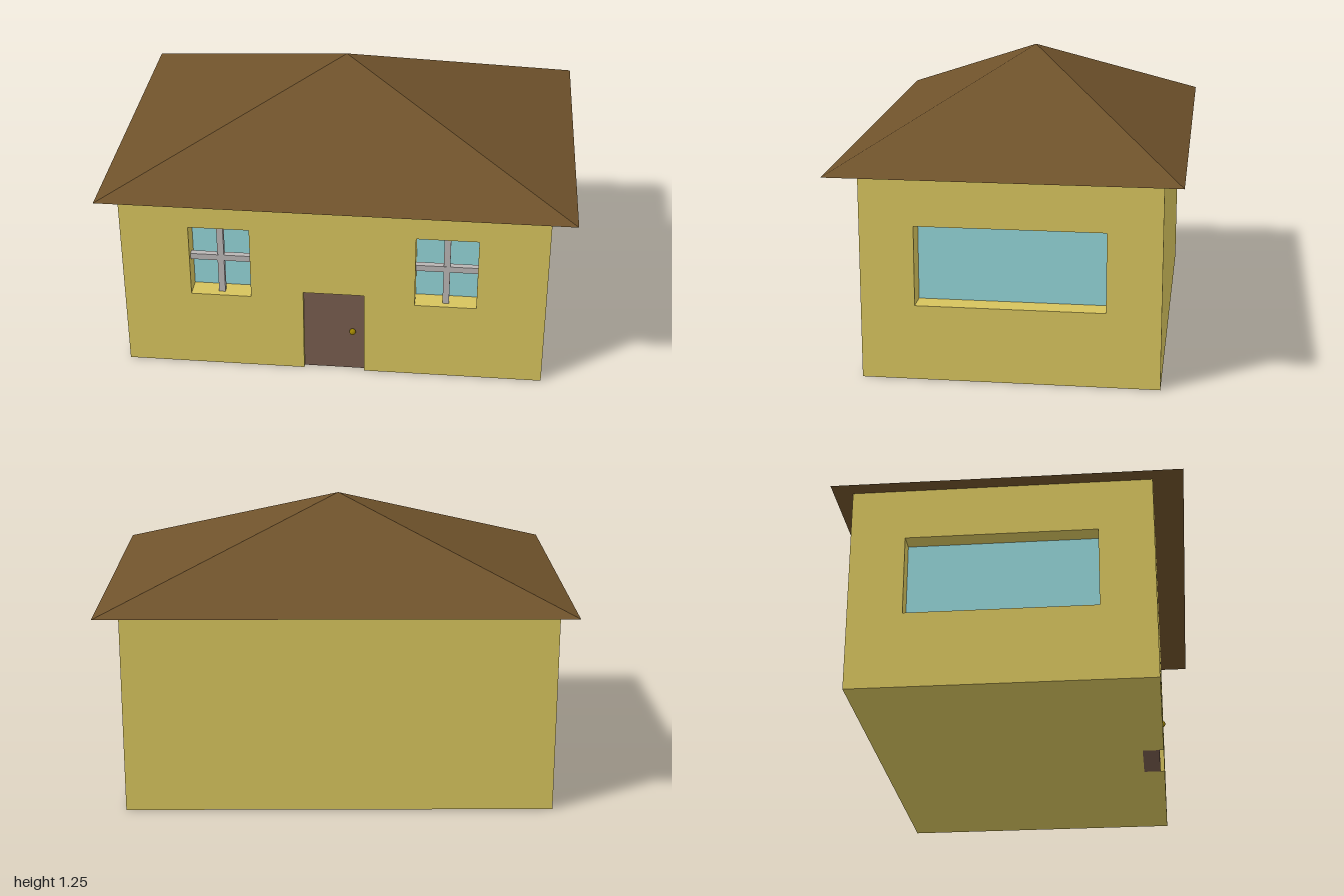
import * as THREE from 'three';

const mat = (color) => new THREE.MeshStandardMaterial({ color, flatShading: true });
const wallMat = mat(0xd6c35d), roofMat = mat(0x6f522b), glassMat = mat(0x92d3d6);
const doorMat = mat(0x765b4d), knobMat = mat(0x9a8000), barMat = mat(0xb9b5b4);

const WALL_TOP = 0.877;
const X0 = -0.93, X1 = 0.9, Z0 = -0.64, Z1 = 0.595;

function add(parent, name, geometry, material) {
  const mesh = new THREE.Mesh(geometry, material);
  mesh.name = name;
  parent.add(mesh);
  return mesh;
}

// Box given by its two opposite corners
function box(parent, name, material, [x0, y0, z0], [x1, y1, z1]) {
  const g = new THREE.BoxGeometry(x1 - x0, y1 - y0, z1 - z0);
  g.translate((x0 + x1) / 2, (y0 + y1) / 2, (z0 + z1) / 2);
  return add(parent, name, g, material);
}

// Wall slab with its outer face on local z = 0; openings are [x0, y0, x1, y1]
function wall(name, x0, x1, depth, windows = [], door = null) {
  const group = new THREE.Group();
  group.name = name;
  const shape = new THREE.Shape();
  shape.moveTo(x0, 0);
  if (door) {
    const [a, b, h] = door;
    shape.lineTo(a, 0).lineTo(a, h).lineTo(b, h).lineTo(b, 0);
  }
  shape.lineTo(x1, 0).lineTo(x1, WALL_TOP).lineTo(x0, WALL_TOP).closePath();
  for (const [a, b, c, d] of windows) {
    const hole = new THREE.Path();
    hole.moveTo(a, b).lineTo(a, d).lineTo(c, d).lineTo(c, b).closePath();
    shape.holes.push(hole);
    box(group, 'windowGlass', glassMat, [a, b, -depth - 0.01], [c, d, -depth + 0.001]);
  }
  const g = new THREE.ExtrudeGeometry(shape, { depth, bevelEnabled: false });
  g.translate(0, 0, -depth);
  add(group, name + 'Panel', g, wallMat);
  return group;
}

export function createModel() {
  const house = new THREE.Group();
  house.name = 'house';

  // Front wall with two windows and a doorway
  const frontWindows = [[-0.635, 0.365, -0.373, 0.703], [0.338, 0.365, 0.603, 0.703]];
  const [dx0, dx1, dh] = [-0.145, 0.12, 0.4];
  const front = wall('frontWall', X0, X1, 0.09, frontWindows, [dx0, dx1, dh]);
  front.position.z = Z1;
  house.add(front);

  // Crossed bars set inside each front window
  for (const [a, b, c, d] of frontWindows) {
    const mx = (a + c) / 2, my = 0.54, r = 0.014;
    box(front, 'verticalBar', barMat, [mx - r, b, -0.055], [mx + r, d, -0.028]);
    box(front, 'horizontalBar', barMat, [a, my - r, -0.054], [c, my + r, -0.027]);
  }

  // Door, slightly recessed, with a round knob
  box(front, 'door', doorMat, [dx0, 0, -0.09], [dx1, dh, -0.018]);
  const knob = add(front, 'doorKnob', new THREE.SphereGeometry(0.014, 16, 12), knobMat);
  knob.material.flatShading = false;
  knob.position.set(0.07, 0.205, -0.003);

  // Back wall
  const back = wall('backWall', -X1, -X0, 0.09);
  back.rotation.y = Math.PI;
  back.position.z = Z0;
  house.add(back);

  // Side walls, each with one wide window
  const zi0 = Z0 + 0.09, zi1 = Z1 - 0.09;
  const left = wall('leftWall', -zi1, -zi0, 0.097, [[-0.37, 0.32, 0.415, 0.658]]);
  left.rotation.y = Math.PI / 2;
  left.position.x = X1;
  const right = wall('rightWall', zi0, zi1, 0.08, [[-0.415, 0.32, 0.37, 0.658]]);
  right.rotation.y = -Math.PI / 2;
  right.position.x = X0;
  house.add(left, right);

  // Floor between the walls
  box(house, 'floor', wallMat, [X0 + 0.08, 0, zi0], [X1 - 0.097, 0.03, zi1]);

  // Four-sided roof with its peak slightly off centre
  const roof = new THREE.ConeGeometry(Math.SQRT1_2, 1, 4, 1);
  roof.rotateY(Math.PI / 4);
  roof.scale(2, 0.378, 1.44);
  const p = roof.attributes.position;
  for (let i = 0; i < p.count; i++) {
    if (p.getY(i) > 0) p.setXYZ(i, -0.013, p.getY(i), -0.02);
  }
  roof.translate(0, WALL_TOP + 0.189, 0);
  roof.computeVertexNormals();
  add(house, 'roof', roof, roofMat);

  return house;
}
